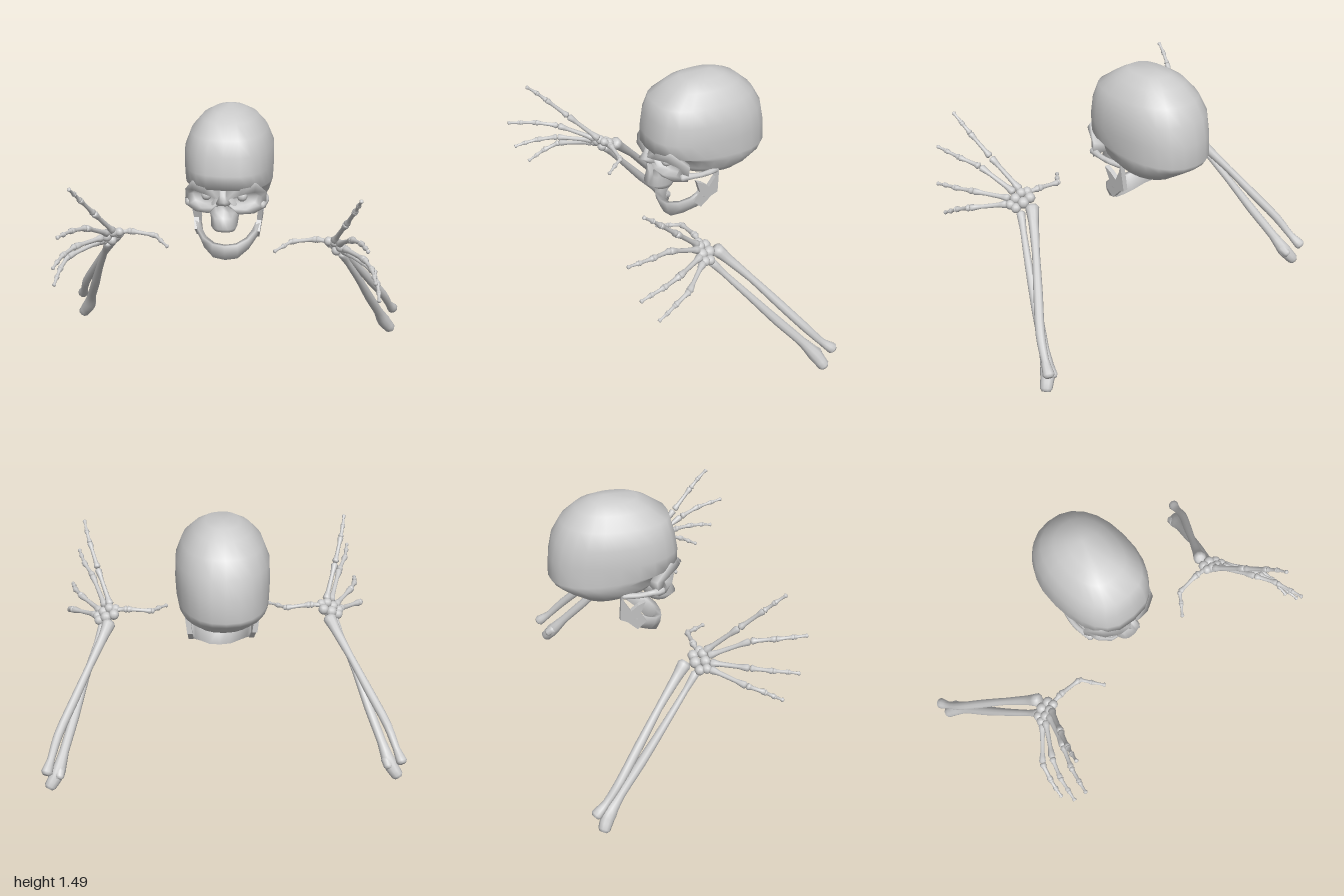
import * as THREE from 'three';

const mat = new THREE.MeshStandardMaterial({ color: 0xcccccc, side: THREE.DoubleSide });
const V = (x, y, z) => new THREE.Vector3(x, y, z);

function add(parent, name, geometry) {
  const mesh = new THREE.Mesh(geometry, mat);
  mesh.name = name;
  parent.add(mesh);
  return mesh;
}

// Closed skin over a row of equal-length rings; winding is turned outward by signed volume
function loft(rings, startTip, endTip) {
  const n = rings[0].length;
  const mid = r => r.reduce((a, p) => a.add(p), V(0, 0, 0)).divideScalar(n);
  const pts = [...rings.flat(), startTip || mid(rings[0]), endTip || mid(rings[rings.length - 1])];
  const idx = [], s = pts.length - 2, e = s + 1, last = (rings.length - 1) * n;
  for (let j = 0; j < n; j++) {
    const k = (j + 1) % n;
    for (let i = 0; i < rings.length - 1; i++) {
      const a = i * n + j, b = i * n + k;
      idx.push(a, b, a + n, b, b + n, a + n);
    }
    idx.push(s, k, j, e, last + j, last + k);
  }
  let volume = 0;
  for (let i = 0; i < idx.length; i += 3) {
    volume += pts[idx[i]].dot(V(0, 0, 0).crossVectors(pts[idx[i + 1]], pts[idx[i + 2]]));
  }
  if (volume < 0) idx.reverse();
  const g = new THREE.BufferGeometry().setFromPoints(pts);
  g.setIndex(idx);
  g.computeVertexNormals();
  return g;
}

// Rounded tube through points [x, y, z, radius], mirrored in x by s
function bone(parent, name, s, data, steps = 3, sides = 8) {
  const curve = new THREE.CatmullRomCurve3(data.map(d => V(d[0] * s, d[1], d[2])), false, 'centripetal');
  const count = (data.length - 1) * steps, rings = [];
  for (let i = 0; i <= count; i++) {
    const t = i / count, f = t * (data.length - 1), a = Math.min(Math.floor(f), data.length - 2);
    const r = THREE.MathUtils.lerp(data[a][3], data[a + 1][3], f - a);
    const c = curve.getPoint(t), d = curve.getTangent(t);
    const u = V(0.31, 0.2, 0.93).cross(d);
    if (u.length() < 0.2) u.copy(V(1, 0, 0).cross(d));
    u.normalize();
    const w = d.clone().cross(u);
    const ring = (p, rad) => Array.from({ length: sides }, (_, j) => {
      const q = j / sides * Math.PI * 2;
      return p.clone().addScaledVector(u, Math.cos(q) * rad).addScaledVector(w, Math.sin(q) * rad);
    });
    if (i === 0) rings.push(ring(c.clone().addScaledVector(d, -r * 0.45), r * 0.65));
    rings.push(ring(c, r));
    if (i === count) rings.push(ring(c.clone().addScaledVector(d, r * 0.45), r * 0.65));
  }
  add(parent, name, loft(rings));
}

// Finger segment: slim shaft with knobbed ends
function phalanx(parent, name, s, a, b, r) {
  const at = (t, k) => [0, 1, 2].map(i => a[i] + (b[i] - a[i]) * t).concat(r * k);
  bone(parent, name, s, [at(0.06, 1.25), at(0.25, 0.75), at(0.7, 0.65), at(0.94, 1.1)], 2);
}

function knob(parent, name, s, x, y, z, r) {
  add(parent, name, new THREE.SphereGeometry(r, 10, 7)).position.set(s * x, y, z);
}

// Horizontal skull section: [y front, y back, z front, z back, half width]
function section([yF, yB, zF, zB, w], n, dent = 0) {
  return Array.from({ length: n }, (_, j) => {
    const a = j / n * Math.PI * 2, c = Math.cos(a), q = Math.sin(a);
    const x = w * Math.sign(c) * Math.abs(c) ** (q > 0 ? 0.72 : 0.88);
    const k = (1 + Math.sign(q) * Math.abs(q) ** 0.9) / 2;
    const hollow = q > 0 && Math.abs(x) < 0.032 ? dent : 0;
    return V(x, yB + (yF - yB) * k, zB + (zF - zB) * k - hollow);
  });
}

// Eye socket loops, from the inner top over the brow and round the cheek
const socketLoops = [
  [[0, 1.11, 0.085], [0.1, 1.135, 0.075], [0.18, 1.13, 0.035], [0.232, 1.05, -0.05],
    [0.228, 0.962, -0.04], [0.165, 0.942, 0.015], [0.085, 0.945, 0.05], [0, 1.02, 0.07]],
  [[0.025, 1.05, 0.108], [0.1, 1.078, 0.11], [0.175, 1.088, 0.07], [0.208, 1.04, -0.005],
    [0.192, 0.99, 0.015], [0.125, 0.978, 0.06], [0.06, 0.99, 0.085], [0.028, 1.02, 0.09]],
  [[0.04, 1.042, 0.04], [0.1, 1.062, 0.03], [0.165, 1.072, 0.01], [0.185, 1.035, -0.025],
    [0.168, 1.0, -0.01], [0.115, 0.99, 0.01], [0.068, 1.0, 0.03], [0.04, 1.02, 0.03]],
];

function buildSkull() {
  const g = new THREE.Group();
  g.name = 'skull';
  add(g, 'cranium', loft([
    [1.478, 1.478, -0.11, -0.37, 0.09], [1.44, 1.44, -0.04, -0.45, 0.155],
    [1.37, 1.37, 0.06, -0.53, 0.215], [1.28, 1.28, 0.088, -0.58, 0.25],
    [1.18, 1.17, 0.105, -0.603, 0.253], [1.1, 1.05, 0.105, -0.61, 0.248],
    [1.07, 1.015, 0, -0.585, 0.24], [1.02, 0.97, -0.01, -0.52, 0.225],
    [0.985, 0.917, -0.03, -0.44, 0.18],
  ].map(r => section(r, 24)), V(0, 1.497, -0.29), V(0, 0.95, -0.2)));

  // Upper jaw with a hollow for the nose opening
  add(g, 'upperJaw', loft([
    [1.05, 1.05, 0.075, -0.03, 0.035, 0], [1.0, 1.0, 0.085, -0.08, 0.075, 0.045],
    [0.96, 0.96, 0.08, -0.11, 0.095, 0.045], [0.925, 0.925, 0.088, -0.11, 0.08, 0.01],
    [0.87, 0.87, 0.105, -0.07, 0.074, 0], [0.838, 0.845, 0.06, -0.05, 0.062, 0],
  ].map(r => section(r, 24, r[5]))));
  add(g, 'nasalBone', loft([
    [1.1, 1.1, 0.1, 0.03, 0.022], [1.07, 1.07, 0.112, 0.03, 0.024],
    [1.04, 1.04, 0.143, 0.03, 0.03], [1.01, 1.015, 0.105, 0.03, 0.042],
  ].map(r => section(r, 10))));

  for (const s of [1, -1]) {
    const side = s > 0 ? 'left' : 'right';
    const loops = socketLoops.map(loop => loop.map(([x, y, z]) => V(s * x, y, z)));
    add(g, side + 'BrowAndCheek', loft(loops, V(s * 0.12, 1.02, -0.1), V(s * 0.11, 1.03, -0.02)));
    bone(g, side + 'CheekArch', s, [[0.205, 0.985, -0.015, 0.024], [0.222, 0.985, -0.08, 0.016],
      [0.222, 0.98, -0.15, 0.015], [0.2, 0.975, -0.23, 0.018]]);
    knob(g, side + 'Eye', s, 0.1, 1.045, 0.025, 0.03);
  }
  return g;
}

function buildJaw() {
  const g = new THREE.Group();
  g.name = 'lowerJaw';
  // Half arch stations: [x, z top, y top, z bottom, y bottom]
  const half = [[0.07, 0.012, 0.745, -0.018, 0.652], [0.13, -0.03, 0.768, -0.065, 0.695],
    [0.168, -0.085, 0.8, -0.135, 0.74], [0.187, -0.125, 0.835, -0.2, 0.798]];
  const stations = [...half.map(([x, ...r]) => [-x, ...r]).reverse(), [0, 0.022, 0.738, -0.008, 0.643], ...half];
  add(g, 'jawArch', loft(stations.map(([x, zt, yt, zb, yb]) => {
    const c = V(0, 0.7, -0.2), top = V(x, yt, zt), low = V(x, yb, zb);
    const inward = p => p.clone().addScaledVector(c.clone().sub(p).setY(0).normalize(), 0.028);
    const out = top.clone().lerp(low, 0.5).addScaledVector(V(x, 0, 0.1).normalize(), 0.008);
    return [top, out, low, inward(low), inward(top)];
  })));
  // Rear branch with two prongs
  const outline = [[-0.11, 0.925], [-0.15, 0.905], [-0.19, 0.87], [-0.225, 0.93], [-0.245, 0.985],
    [-0.25, 0.82], [-0.21, 0.8], [-0.15, 0.74], [-0.1, 0.79], [-0.135, 0.85]];
  const shape = new THREE.Shape(outline.map(p => new THREE.Vector2(...p)));
  for (const s of [1, -1]) {
    const geo = new THREE.ExtrudeGeometry(shape, { depth: 0.028, bevelEnabled: false });
    geo.rotateY(-Math.PI / 2);
    geo.translate(0.014, 0, 0);
    const p = geo.attributes.position;
    for (let i = 0; i < p.count; i++) p.setX(i, p.getX(i) + s * (0.176 + (p.getY(i) - 0.8) * 0.12));
    geo.computeVertexNormals();
    add(g, (s > 0 ? 'left' : 'right') + 'JawBranch', geo);
  }
  return g;
}

function buildArm(s) {
  const g = new THREE.Group();
  g.name = s > 0 ? 'leftArm' : 'rightArm';

  // Forearm
  bone(g, 'radius', s, [[0.628, 0.775, 0.0, 0.038], [0.66, 0.72, -0.05, 0.028], [0.735, 0.6, -0.16, 0.021],
    [0.825, 0.45, -0.285, 0.025], [0.915, 0.3, -0.41, 0.025], [0.955, 0.2, -0.495, 0.021], [0.978, 0.15, -0.552, 0.032]], 3, 10);
  bone(g, 'ulna', s, [[0.668, 0.735, 0.05, 0.024], [0.7, 0.66, -0.01, 0.017], [0.765, 0.51, -0.135, 0.021],
    [0.83, 0.34, -0.275, 0.027], [0.89, 0.19, -0.405, 0.027], [0.925, 0.1, -0.475, 0.04], [0.968, 0.034, -0.513, 0.033]], 3, 10);
  bone(g, 'elbowProng', s, [[0.91, 0.115, -0.47, 0.032], [0.915, 0.09, -0.51, 0.025]], 2);

  // Wrist cluster
  [[0.6, 0.805, 0.055, 0.03], [0.645, 0.79, 0.055, 0.032], [0.685, 0.765, 0.07, 0.028], [0.59, 0.825, 0.09, 0.026],
    [0.625, 0.825, 0.1, 0.028], [0.66, 0.8, 0.105, 0.03], [0.695, 0.775, 0.105, 0.027], [0.635, 0.77, 0.085, 0.028]]
    .forEach(c => knob(g, 'wristBone', s, ...c));

  // Digits, base to tip
  const digits = {
    thumb: [[0.605, 0.82, 0.085], [0.525, 0.828, 0.075], [0.385, 0.81, 0.08], [0.345, 0.802, 0.135], [0.297, 0.79, 0.195]],
    index: [[0.62, 0.835, 0.11], [0.69, 1.0, 0.275], [0.735, 1.115, 0.39], [0.752, 1.165, 0.44], [0.765, 1.21, 0.495]],
    middle: [[0.65, 0.825, 0.12], [0.725, 0.932, 0.33], [0.775, 0.958, 0.45], [0.796, 0.97, 0.54], [0.81, 0.978, 0.607]],
    ring: [[0.68, 0.8, 0.125], [0.795, 0.812, 0.31], [0.835, 0.803, 0.42], [0.848, 0.793, 0.5], [0.857, 0.78, 0.56]],
    little: [[0.7, 0.775, 0.12], [0.845, 0.738, 0.28], [0.868, 0.7, 0.37], [0.876, 0.67, 0.42], [0.88, 0.642, 0.47]],
  };
  for (const [name, joints] of Object.entries(digits)) {
    for (let i = 0; i < 4; i++) {
      phalanx(g, name + 'Bone' + (i + 1), s, joints[i], joints[i + 1], 0.0185 - i * 0.0025);
    }
  }
  return g;
}

export function createModel() {
  const model = new THREE.Group();
  model.name = 'skeletonHeadAndArms';
  model.add(buildSkull(), buildJaw(), buildArm(1), buildArm(-1));
  return model;
}
